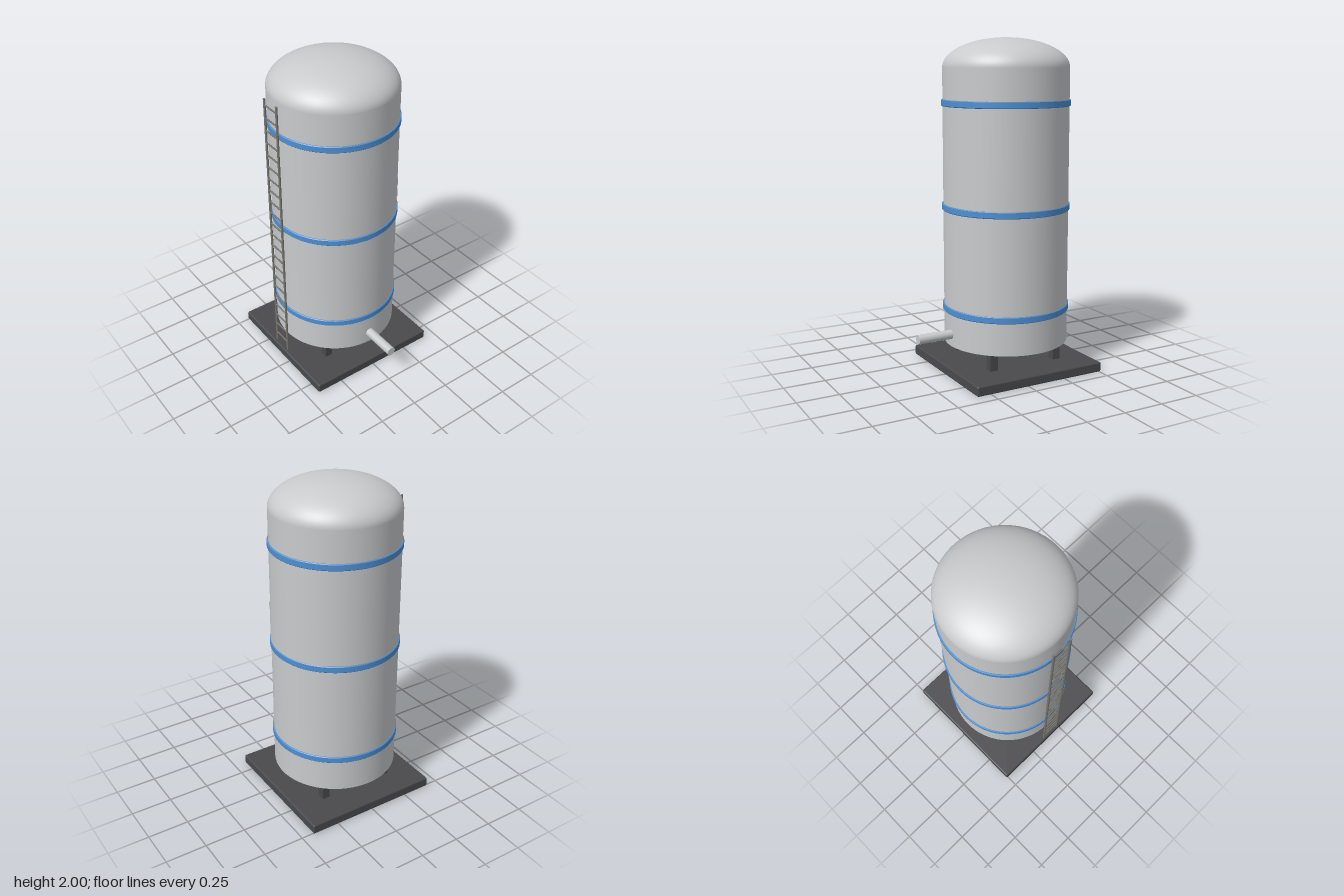
import * as THREE from 'three';
import { toCreasedNormals } from 'three/addons/utils/BufferGeometryUtils.js';
import { RoundedBoxGeometry } from 'three/addons/geometries/RoundedBoxGeometry.js';

const CX = -0.085; // tank axis
const R = 0.378;   // tank radius

const material = (name, color, side = THREE.FrontSide) => {
  const m = new THREE.MeshStandardMaterial({ color, side });
  m.name = name;
  return m;
};

export function createModel() {
  const model = new THREE.Group();
  model.name = 'storageTank';
  const steel = material('light grey steel', 0xc8cacc);
  const sheet = material('light grey sheet', 0xc8cacc, THREE.DoubleSide);
  const blue = material('blue band', 0x4f8fd0);
  const dark = material('dark grey base', 0x4a4a4d);
  const ladderGrey = material('ladder grey', 0x77756f);

  const add = (parent, name, geometry, mat, x, y, z) => {
    const mesh = new THREE.Mesh(geometry, mat);
    mesh.name = name;
    mesh.position.set(x, y, z);
    parent.add(mesh);
    return mesh;
  };

  // Base slab and four legs
  add(model, 'baseSlab', new RoundedBoxGeometry(0.85, 0.06, 0.85, 2, 0.01), dark, CX, 0.03, 0);
  for (const sx of [-1, 1]) for (const sz of [-1, 1]) {
    add(model, 'leg', new THREE.BoxGeometry(0.05, 0.13, 0.05), dark, CX + sx * 0.218, 0.115, sz * 0.22);
  }

  // Straight shell running into an elliptical dome
  const profile = [new THREE.Vector2(R, 0.17), new THREE.Vector2(R, 1.0)];
  for (let i = 0; i <= 20; i++) {
    const a = (i / 20) * Math.PI / 2;
    profile.push(new THREE.Vector2(i === 20 ? 0 : R * Math.cos(a), 1.825 + 0.175 * Math.sin(a)));
  }
  add(model, 'tankShell', new THREE.LatheGeometry(profile, 64), steel, CX, 0, 0);
  add(model, 'tankBottom', new THREE.CircleGeometry(R, 64), steel, CX, 0.17, 0).rotation.x = Math.PI / 2;

  // Bevelled bands around the shell
  const bandProfile = [[0.37, -0.02], [0.382, -0.02], [0.386, -0.016], [0.386, 0.016], [0.382, 0.02], [0.37, 0.02]]
    .map(([x, y]) => new THREE.Vector2(x, y));
  const bandGeometry = toCreasedNormals(new THREE.LatheGeometry(bandProfile, 64), 0.5);
  for (const y of [0.385, 1.0, 1.62]) add(model, 'band', bandGeometry, blue, CX, y, 0);

  // Thin curved plate on the back
  add(model, 'backPlate', new THREE.CylinderGeometry(0.381, 0.381, 0.285, 20, 1, true, Math.PI - 0.81, 1.62),
    sheet, CX, 1.095, 0);

  // Outlet pipe on the side
  add(model, 'outletPipe', new THREE.CylinderGeometry(0.028, 0.028, 0.26, 24), steel, 0.38, 0.243, 0)
    .rotation.z = Math.PI / 2;

  // Ladder: two rails and evenly spaced rungs
  const ladder = new THREE.Group();
  ladder.name = 'ladder';
  ladder.position.set(CX, 0, 0.414);
  model.add(ladder);
  for (const s of [-1, 1]) {
    add(ladder, 'rail', new THREE.CylinderGeometry(0.007, 0.007, 1.75, 10), ladderGrey, s * 0.06, 0.955, 0);
  }
  const rungGeometry = new THREE.CylinderGeometry(0.005, 0.005, 0.12, 8);
  for (let i = 0; i < 22; i++) {
    add(ladder, 'rung', rungGeometry, ladderGrey, 0, 0.147 + i * 0.0783, 0).rotation.z = Math.PI / 2;
  }
  return model;
}
